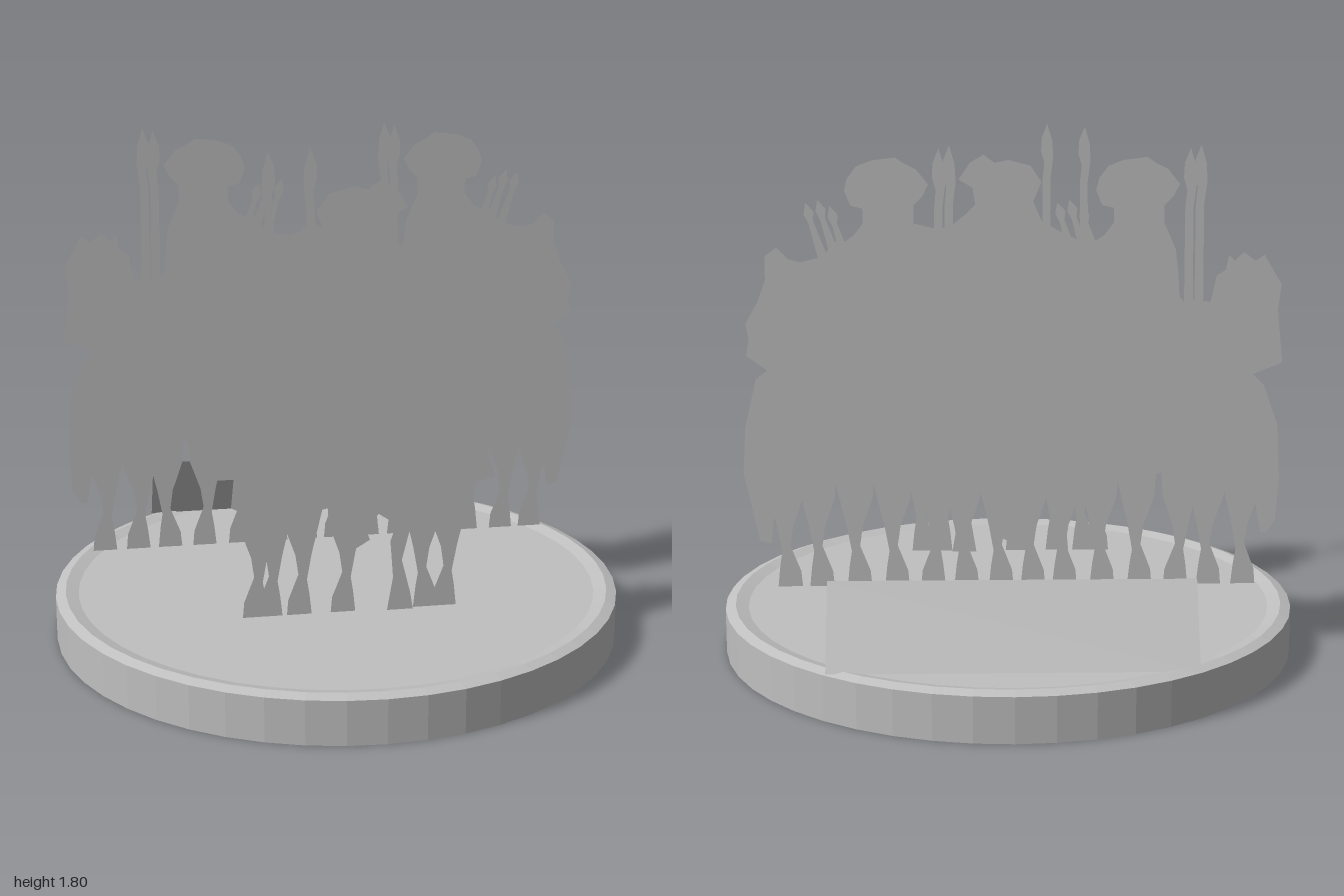
import * as THREE from 'three';

const grey = new THREE.MeshStandardMaterial({ color: 0xc0c0c0 });
grey.name = 'plain grey';
grey.side = THREE.DoubleSide;
const stone = new THREE.MeshStandardMaterial({ color: 0xc0c0c0, flatShading: true });
stone.name = 'base grey';

// Flat cut-out from outline points given in hundredths of a unit
function cutout(name, points, dx = 0, dy = 0, mirror = 1) {
  const shape = new THREE.Shape(points.map(([x, y]) =>
    new THREE.Vector2((x * mirror + dx) / 100, (y + dy) / 100)));
  const mesh = new THREE.Mesh(new THREE.ShapeGeometry(shape), grey);
  mesh.name = name;
  return mesh;
}

// Leg tapering to an ankle and flaring into a hoof, centred on x = 0
const LEG = [[-6, 70], [-5, 57], [-1.5, 47], [-0.5, 40], [-4, 31], [-4.5, 25.5],
  [4, 25.5], [3.2, 33], [2.4, 38], [4, 47], [8, 64], [8, 70]];

// Spear: leaf-shaped head on a slim shaft, tip at the origin
const SPEAR = [[0, 0], [2, -5], [2.2, -10], [1, -14], [1.6, -20], [1.4, -55],
  [-1.6, -55], [-1.2, -20], [-2.2, -12], [-1.8, -6]];

// Arrow pointing up and to the right, tail at the origin
const ARROW = [[-1.5, 0], [3.5, 13], [3.2, 16], [6, 19], [6.6, 15], [5, 12], [2, 0]];

// Rider and horse of the two rear groups
const SIDE_BODY = [[-51, 104], [-49, 122], [-50, 131], [-44, 141], [-41, 139], [-37, 142],
  [-34, 139], [-32, 141], [-31, 136], [-28, 134], [-26, 125], [-20, 126], [-18, 124],
  [-15.5, 127], [-15, 135], [-14, 143], [-10, 152], [-10, 158], [-13, 161], [-15, 165],
  [-11, 170], [-7, 172], [-4, 174], [4, 173], [9, 171], [12, 167], [13, 163], [11, 158],
  [7, 157], [7, 152], [10, 148], [13, 146], [17, 146], [20, 141], [28, 139], [32, 140],
  [36, 144], [40, 141], [40, 133], [43, 125], [47, 118], [46, 113], [47, 107], [40, 102],
  [44, 99], [48, 82], [49, 66], [46, 52], [44, 42], [40, 41], [39, 50], [34, 62],
  [25, 60], [15, 66], [0, 64], [-15, 66], [-28, 65], [-37, 60], [-43, 55], [-45, 44],
  [-47, 44], [-50, 48], [-51, 63], [-50, 82], [-45, 96], [-41, 100]];

// Rider and horse of the front group
const FRONT_BODY = [[-47, 97], [-42, 103], [-36, 109], [-31, 115], [-33, 122], [-30, 135],
  [-26, 138], [-18, 142], [-13, 145], [-10, 152], [-13, 159], [-9, 165], [-1, 167], [4, 166],
  [8, 169], [13, 166], [17, 160], [12, 157], [11, 151], [15, 147], [20, 143], [25, 142],
  [33, 144], [36, 141], [34, 133], [39, 125], [38, 117], [40, 102], [41, 92], [47, 84],
  [45, 76], [48, 66], [38, 64], [36, 57], [25, 55], [10, 58], [-10, 58], [-25, 55],
  [-36, 57], [-42, 60], [-41, 70], [-47, 70], [-47, 79], [-42, 90]];

// Raised foreleg, bent into a hook
const BENT_LEG = [[-4, 47], [0, 56], [8, 60], [16, 57], [19, 50], [16, 38], [19, 26], [20, 20],
  [11, 20], [13, 32], [12, 45], [14, 51], [8, 55], [3, 51], [5, 46], [0, 43]];

function riderGroup(name, body, legs, spears, arrows, legDrop) {
  const group = new THREE.Group();
  group.name = name;
  group.add(cutout('riderAndHorse', body));
  legs.forEach(([x, mirror]) => group.add(cutout('leg', LEG, x, legDrop, mirror)));
  spears.forEach(([x, y]) => group.add(cutout('spear', SPEAR, x, y)));
  arrows.forEach(([x, y]) => group.add(cutout('arrow', ARROW, x, y)));
  return group;
}

export function createModel() {
  const model = new THREE.Group();
  model.name = 'mountedRiders';

  // Round base with a bevelled rim and a slightly sunken floor
  const profile = [[0, 0], [1, 0], [1, 0.155], [0.965, 0.167], [0.92, 0.155], [0, 0.155]]
    .map(([r, y]) => new THREE.Vector2(r, y));
  const base = new THREE.Mesh(new THREE.LatheGeometry(profile, 48), stone);
  base.name = 'base';
  model.add(base);

  // Sloping plate at the back
  const plate = new THREE.Mesh(new THREE.PlaneGeometry(1.2, Math.hypot(0.16, 0.26)), grey);
  plate.name = 'backPlate';
  plate.rotation.x = Math.atan2(0.16, 0.26);
  plate.position.set(0, 0.29, -0.72);
  model.add(plate);

  // Two matching groups at the rear
  const legs = [[-39, 1], [-27, 1], [-16, -1], [-3, 1], [10, 1], [23, 1], [34, 1]];
  for (const [name, x] of [['rightRider', -0.42], ['leftRider', 0.42]]) {
    const rider = riderGroup(name, SIDE_BODY, legs, [[-22, 178], [-18.5, 177]],
      [[12, 139], [16, 141], [20, 140]], 0);
    rider.position.set(x, 0, -0.18);
    model.add(rider);
  }

  // Group at the front
  const front = riderGroup('frontRider', FRONT_BODY,
    [[-34, 1], [-29, 1], [-19, 1], [-4, 1], [24, -1], [31, 1]],
    [[-28.5, 179], [-15, 180]], [], -5);
  front.add(cutout('bentLeg', BENT_LEG));
  front.position.z = 0.4;
  model.add(front);

  return model;
}
